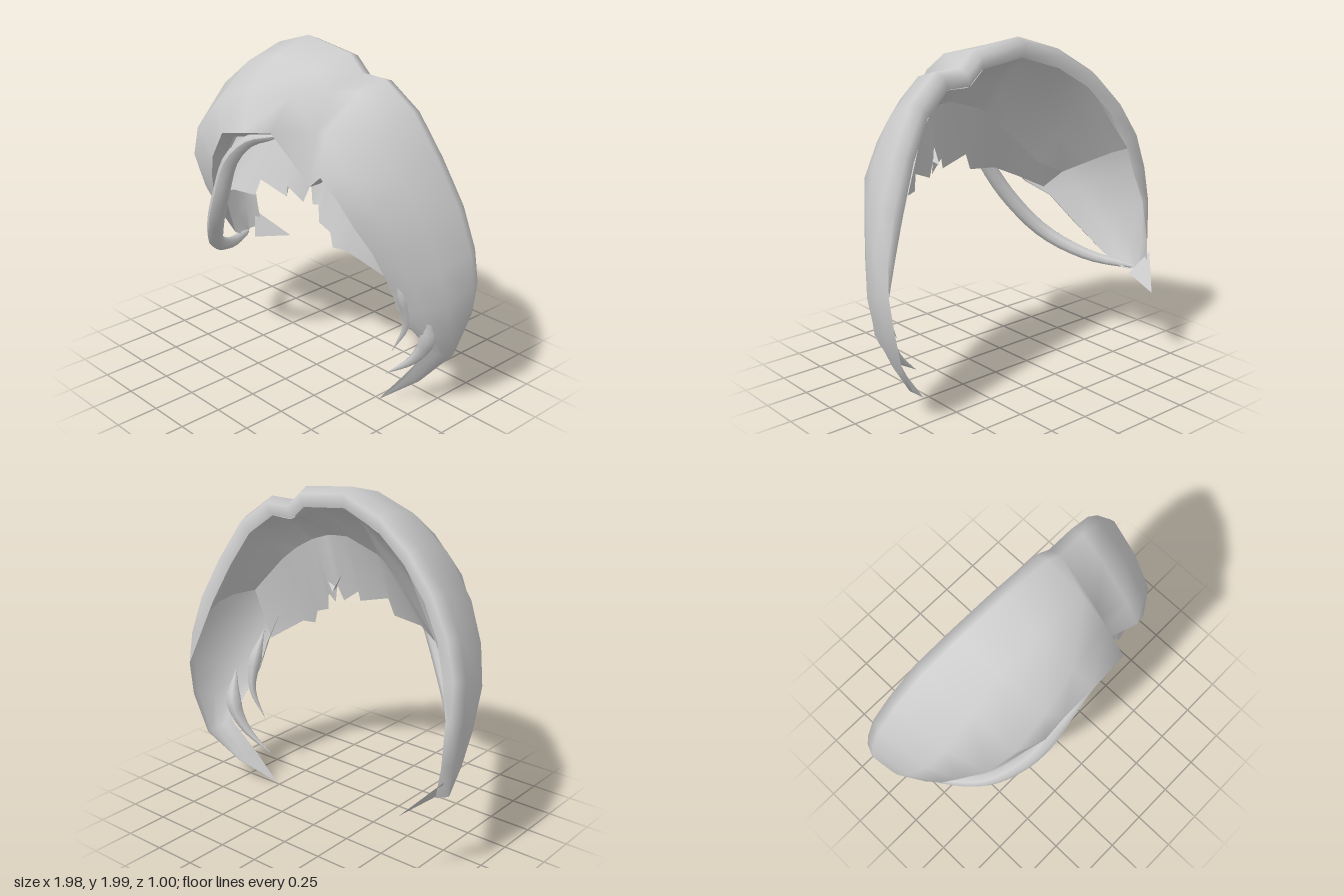
import * as THREE from 'three';

const V = (p) => new THREE.Vector3(...p);

// Skin a grid of cross-sections (rows of equal length) into a smooth sheet
function loft(rows) {
  const n = rows[0].length, idx = [];
  for (let i = 0; i < rows.length - 1; i++) {
    for (let j = 0; j < n - 1; j++) {
      const a = i * n + j, b = a + n;
      idx.push(a, b, a + 1, b, b + 1, a + 1);
    }
  }
  const g = new THREE.BufferGeometry().setFromPoints(rows.flat());
  g.setIndex(idx);
  g.computeVertexNormals();
  return g;
}

// Tapered strand with a round section swept along a curve
function strand(points, radius, taper, segs = 16, sides = 6) {
  const curve = new THREE.CatmullRomCurve3(points.map(V));
  const g = new THREE.TubeGeometry(curve, segs, 1, sides);
  const pos = g.attributes.position, p = new THREE.Vector3();
  for (let i = 0; i <= segs; i++) {
    const c = curve.getPointAt(i / segs), r = radius * taper(i / segs);
    for (let j = 0; j <= sides; j++) {
      const k = i * (sides + 1) + j;
      p.fromBufferAttribute(pos, k).sub(c).multiplyScalar(r).add(c);
      pos.setXYZ(k, p.x, p.y, p.z);
    }
  }
  g.computeVertexNormals();
  return g;
}

// Move a point toward the arch centre and along z
const inset = (c, s, dz) => new THREE.Vector3(c.x * s, 1 + (c.y - 1) * s, c.z + dz);

export function createModel() {
  const hair = new THREE.MeshStandardMaterial({ color: 0xcccccc, side: THREE.DoubleSide });
  const group = new THREE.Group();
  const add = (name, geo) => {
    const m = new THREE.Mesh(geo, hair);
    m.name = name;
    group.add(m);
  };

  // Sections from crest to front lower edge, starting at the parting
  const parting = [[0.3, 1.87, -0.05], [0.27, 1.8, 0.15], [0.26, 1.6, 0.25], [0.25, 1.3, 0.28]];
  const left = [
    [[0.2, 1.96, -0.05], [0.2, 1.91, 0.2], [0.2, 1.8, 0.36], [0.2, 1.63, 0.5]],
    [[-0.12, 2, -0.05], [-0.1, 1.93, 0.2], [-0.08, 1.79, 0.4], [-0.03, 1.58, 0.5]],
    [[-0.4, 1.91, -0.08], [-0.36, 1.85, 0.18], [-0.32, 1.68, 0.44], [-0.22, 1.53, 0.49]],
    [[-0.62, 1.77, -0.12], [-0.58, 1.68, 0.18], [-0.52, 1.48, 0.43], [-0.34, 1.36, 0.47]],
    [[-0.8, 1.58, -0.15], [-0.76, 1.45, 0.16], [-0.66, 1.27, 0.36], [-0.43, 1.21, 0.41]],
    [[-0.92, 1.38, -0.18], [-0.87, 1.25, 0.1], [-0.77, 1.1, 0.24], [-0.51, 1.05, 0.34]],
    [[-0.98, 1.17, -0.2], [-0.94, 1.05, 0.02], [-0.83, 0.97, 0.16], [-0.64, 0.95, 0.24]],
    [[-0.995, 0.95, -0.23], [-0.96, 0.85, -0.08], [-0.87, 0.8, 0.05], [-0.73, 0.78, 0.1]],
    [[-0.965, 0.7, -0.26], [-0.95, 0.65, -0.17], [-0.91, 0.62, -0.1], [-0.83, 0.6, -0.06]],
    [[-0.95, 0.53, -0.28], [-0.94, 0.52, -0.25], [-0.91, 0.51, -0.22], [-0.87, 0.52, -0.2]],
  ];
  const right = [
    [[0.46, 1.87, -0.05], [0.44, 1.82, 0.12], [0.42, 1.66, 0.32], [0.45, 1.43, 0.39]],
    [[0.64, 1.73, -0.08], [0.62, 1.62, 0.14], [0.58, 1.45, 0.32], [0.55, 1.32, 0.36]],
    [[0.78, 1.5, -0.12], [0.76, 1.4, 0.1], [0.71, 1.28, 0.26], [0.62, 1.18, 0.31]],
    [[0.9, 1.24, -0.17], [0.86, 1.15, 0.03], [0.78, 1.07, 0.17], [0.69, 1.05, 0.25]],
    [[0.97, 1, -0.2], [0.91, 0.93, -0.03], [0.83, 0.88, 0.1], [0.72, 0.88, 0.17]],
    [[0.985, 0.8, -0.22], [0.94, 0.74, -0.07], [0.85, 0.7, 0.04], [0.74, 0.7, 0.1]],
    [[0.95, 0.6, -0.24], [0.93, 0.55, -0.12], [0.87, 0.53, -0.03], [0.79, 0.56, 0.03]],
    [[0.87, 0.35, -0.22], [0.86, 0.36, -0.17], [0.84, 0.38, -0.13], [0.8, 0.4, -0.1]],
    [[0.72, 0.16, -0.12], [0.71, 0.18, -0.09], [0.69, 0.2, -0.06], [0.67, 0.2, -0.03]],
    [[0.53, 0.01, 0.01], [0.53, 0.01, 0.01], [0.53, 0.01, 0.01], [0.53, 0.01, 0.01]],
  ];

  // Outer shell; its back rim turns inward above the ends of the lining
  const sections = [...left.reverse(), parting, ...right].map((s) => s.map(V));
  const count = sections.length;
  const rims = sections.map(([c], i) => {
    const f = Math.min(1, (count - 1 - i) / 4); // rim fades out at the right tip
    const turn = THREE.MathUtils.clamp((c.y - 0.85) / 0.2, 0, 1);
    return [inset(c, 1 - (0.03 + 0.08 * turn) * f, (-0.07 + 0.02 * turn) * f), inset(c, 1 - 0.03 * f, -0.07 * f)];
  });
  add('outerHair', loft(sections.map((s, i) => [...rims[i], ...s])));

  // Narrow lip folding back under the front edge, fading toward both ends
  add('frontLip', loft(sections.map(([, , , edge]) => {
    const f = THREE.MathUtils.clamp((edge.y - 0.6) / 0.4, 0, 1);
    return [edge, inset(edge, 1 - 0.06 * f, -0.07 * f)];
  })));

  // Inner lining: a domed cap meeting a jagged hairline band at a crease
  const jag = [
    [-0.6, 1, 0.24], [-0.45, 1.08, 0.32], [-0.3, 1.15, 0.36], [-0.11, 1.17, 0.36], [-0.07, 1.27, 0.35],
    [0.12, 1.22, 0.33], [0.13, 1.28, 0.33], [0.22, 1.21, 0.3], [0.24, 1.31, 0.26], [0.26, 1.2, 0.27],
    [0.34, 1.23, 0.3], [0.345, 1.13, 0.3], [0.43, 1.1, 0.3], [0.45, 1.02, 0.3], [0.53, 1.02, 0.28],
    [0.7, 0.9, 0.17],
  ].map(V);
  const crease = jag.map((p) => new THREE.Vector3(
    p.x * 1.12, Math.max(p.y + 0.1, 1.63 - 1.4 * (p.x - 0.15) ** 2), 0.23 - 0.22 * p.x ** 2));
  const arch = new THREE.CatmullRomCurve3(rims.slice(3, 16).map((r) => r[0]));
  add('innerLining', loft(crease.map((front, i) => {
    const s = THREE.MathUtils.clamp((jag[i].x - 0.05) / 0.66, -1, 1);
    const back = arch.getPointAt(0.5 + Math.asin(s) / Math.PI);
    const mids = [0.33, 0.67].map((t) => inset(back.clone().lerp(front, t), 1.06, 0));
    return [back, ...mids, front];
  })));
  add('jaggedHairline', loft(jag.map((p, i) => [crease[i], p])));

  // Long loose strand hanging across the forehead
  add('forelock', strand([
    [0.2, 1.61, 0.47], [-0.02, 1.53, 0.46], [-0.19, 1.38, 0.46], [-0.31, 1.15, 0.44],
    [-0.45, 0.92, 0.38], [-0.62, 0.7, 0.25], [-0.78, 0.57, 0.02], [-0.92, 0.53, -0.23],
  ], 0.05, (t) => 0.25 + 0.75 * Math.sin(Math.PI * t) ** 0.6, 24, 8));

  // Pointed side strands at the right tip, tapered at both ends
  const point = (t) => Math.max(0.02, Math.min(1, 3 * t, 1.4 * (1 - t)));
  add('sideStrandMiddle', strand([
    [0.86, 0.7, 0.01], [0.83, 0.5, -0.05], [0.74, 0.34, -0.04], [0.58, 0.2, 0.01],
  ], 0.055, point, 12));
  add('sideStrandFront', strand([
    [0.74, 0.95, 0.15], [0.76, 0.76, 0.08], [0.75, 0.58, 0.04], [0.67, 0.4, 0.06],
  ], 0.045, point, 12));

  // Stray lock flicking backward at the left end
  add('backFlick', loft([
    [V([-0.96, 0.64, -0.33]), V([-0.87, 0.5, -0.25])],
    [V([-0.8, 0.46, -0.5]), V([-0.8, 0.46, -0.5])],
  ]));
  return group;
}
